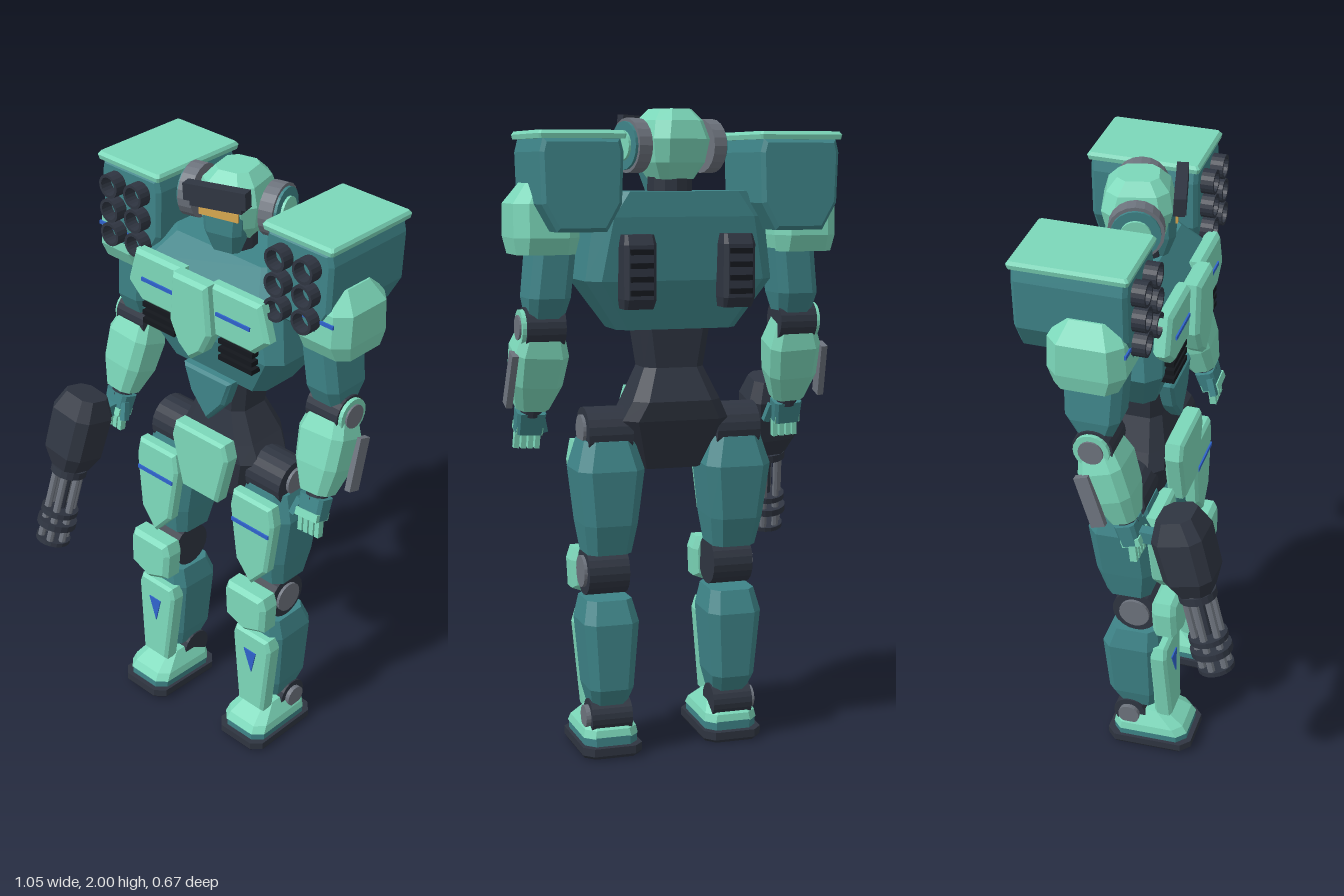
import * as THREE from 'three';

const paint = (name, color, extra = {}) => Object.assign(new THREE.MeshStandardMaterial({ color, flatShading: true, ...extra }), { name });
const MINT = paint('mint armour', 0x7cd8ba);
const TEAL = paint('teal frame', 0x3e8488);
const DARK = paint('dark joints', 0x2f3541);
const GREY = paint('grey metal', 0x6d737d);
const BLACK = paint('black vents', 0x14171d);
const BLUE = paint('blue trim', 0x2f62cc);
const GOLD = paint('gold visor', 0xd9a950);

function add(parent, name, geo, mat, x = 0, y = 0, z = 0) {
  const mesh = new THREE.Mesh(geo, mat);
  mesh.name = name;
  mesh.position.set(x, y, z);
  parent.add(mesh);
  return mesh;
}
function group(parent, name, x = 0, y = 0, z = 0) {
  const g = new THREE.Group();
  g.name = name;
  g.position.set(x, y, z);
  parent.add(g);
  return g;
}
const box = (w, h, d) => new THREE.BoxGeometry(w, h, d);
const cyl = (r, h, n = 16, r2 = r) => new THREE.CylinderGeometry(r2, r, h, n);
const cylX = (r, h, n = 20) => cyl(r, h, n).rotateZ(Math.PI / 2);

// Faceted solid from chamfered rectangles, bottom to top: [y, halfWidth, zFront, zBack, chamfer, xOffset]
function loft(sections) {
  const rings = sections.map(([y, w, f, b, c = 0.02, o = 0]) => [
    [w - c, f], [w, f - c], [w, b + c], [w - c, b], [c - w, b], [-w, b + c], [-w, f - c], [c - w, f],
  ].map(([x, z]) => [x + o, y, z]));
  const pos = [];
  const tri = (...p) => p.forEach((v) => pos.push(...v));
  for (let r = 0; r < rings.length - 1; r++) {
    for (let i = 0; i < 8; i++) {
      const j = (i + 1) % 8, lo = rings[r], hi = rings[r + 1];
      tri(lo[i], lo[j], hi[j]);
      tri(lo[i], hi[j], hi[i]);
    }
  }
  const bottom = rings[0], top = rings[rings.length - 1];
  for (let i = 1; i < 7; i++) {
    tri(top[0], top[i], top[i + 1]);
    tri(bottom[0], bottom[i + 1], bottom[i]);
  }
  const geo = new THREE.BufferGeometry();
  geo.setAttribute('position', new THREE.Float32BufferAttribute(pos, 3));
  geo.computeVertexNormals();
  return geo;
}

// Bevelled plate facing +z, between z0 and z1
function plate(pts, z0, z1, bevel = 0.01) {
  const shape = new THREE.Shape(pts.map(([x, y]) => new THREE.Vector2(x, y)));
  return new THREE.ExtrudeGeometry(shape, {
    depth: z1 - z0 - 2 * bevel, bevelEnabled: bevel > 0, bevelSize: bevel,
    bevelThickness: bevel, bevelOffset: -bevel, bevelSegments: 1,
  }).translate(0, 0, z0 + bevel);
}
const sym = (half) => [...half, ...half.filter(([x]) => x > 0).reverse().map(([x, y]) => [-x, y])];

function buildTorso(root) {
  const t = group(root, 'torso');
  add(t, 'chestFrame', loft([[1.34, 0.19, -0.01, -0.19, 0.03], [1.49, 0.295, 0.04, -0.235, 0.04],
    [1.68, 0.27, 0.035, -0.25, 0.05], [1.755, 0.21, -0.03, -0.245, 0.04]]), TEAL);
  add(t, 'chestCentrePlate', plate(sym([[0.07, 1.7], [0.085, 1.54], [0.05, 1.47], [0, 1.43]]), 0.04, 0.1, 0.012), MINT);
  add(t, 'waist', loft([[0.9, 0.1, -0.03, -0.12], [1.06, 0.17, 0.005, -0.2, 0.04], [1.12, 0.14, 0, -0.21, 0.04],
    [1.22, 0.095, -0.02, -0.17, 0.03], [1.36, 0.115, -0.01, -0.18, 0.03]]), DARK);
  add(t, 'abdomenPlate', plate(sym([[0.1, 1.35], [0.07, 1.26], [0, 1.18]]), -0.03, 0.025), TEAL);
  add(t, 'pelvisPlate', plate(sym([[0.105, 1.145], [0.12, 1.09], [0.075, 0.915]]), 0, 0.06), MINT);
  for (const s of [1, -1]) {
    add(t, 'chestSidePlate', plate([[0.06, 1.7], [0.255, 1.7], [0.29, 1.585], [0.23, 1.53], [0.06, 1.53]]
      .map(([x, y]) => [s * x, y]), 0.02, 0.07, 0.012), MINT);
    add(t, 'chestStripe', box(0.135, 0.012, 0.006), BLUE, s * 0.155, 1.612, 0.072);
    for (let i = 0; i < 3; i++) add(t, 'chestVent', box(0.135, 0.016, 0.05), BLACK, s * 0.16, 1.465 + i * 0.028, 0.042);
    // Exhaust boxes on the back
    add(t, 'backExhaust', loft([[1.41, 0.045, -0.22, -0.29, 0.008], [1.44, 0.05, -0.22, -0.31, 0.012],
      [1.6, 0.05, -0.22, -0.31, 0.012], [1.63, 0.045, -0.22, -0.295, 0.008]]).translate(s * 0.155, 0, 0), DARK);
    for (let i = 0; i < 4; i++) add(t, 'exhaustLouvre', box(0.07, 0.016, 0.014), BLACK, s * 0.155, 1.46 + i * 0.04, -0.313);
  }
}

function buildHead(root) {
  add(root, 'neck', cyl(0.07, 0.1, 12), DARK, 0, 1.765, -0.1);
  const h = group(root, 'head', 0.002, 0, -0.107);
  h.rotation.y = 0.25;
  add(h, 'helmet', loft([[1.79, 0.06, 0.05, -0.06, 0.02], [1.84, 0.088, 0.085, -0.09, 0.03],
    [1.91, 0.1, 0.1, -0.105, 0.035], [1.965, 0.085, 0.09, -0.09, 0.035], [2, 0.055, 0.06, -0.06, 0.025]]), MINT);
  add(h, 'faceMask', loft([[1.755, 0.045, 0.085, 0, 0.015], [1.82, 0.062, 0.108, 0, 0.02], [1.9, 0.068, 0.108, 0, 0.02]]), TEAL);
  add(h, 'eyeBand', box(0.13, 0.026, 0.008), GOLD, 0, 1.888, 0.111);
  const brow = group(h, 'browVisor', 0, 1.953, 0.122);
  brow.rotation.z = 0.06;
  add(brow, 'browBar', box(0.205, 0.052, 0.035), DARK);
  add(brow, 'browLip', box(0.17, 0.02, 0.035), DARK, 0, -0.032, -0.004);
  for (const s of [1, -1]) {
    add(h, 'earDrum', cylX(0.082, 0.045), GREY, s * 0.133, 1.89, 0);
    add(h, 'earRim', cylX(0.072, 0.012), TEAL, s * 0.158, 1.89, 0);
    add(h, 'earCap', cylX(0.045, 0.012), MINT, s * 0.166, 1.89, 0);
  }
}

function buildPod(root, s) {
  const p = group(root, 'missilePod', s * 0.337, 0, 0);
  add(p, 'podBody', plate(sym([[0.115, 1.91], [0.125, 1.87], [0.12, 1.72], [0.075, 1.64]]), -0.33, 0.005, 0.012), TEAL);
  add(p, 'podLidSeal', box(0.23, 0.014, 0.3), DARK, 0, 1.902, -0.165);
  add(p, 'podLid', loft([[1.908, 0.128, 0.01, -0.335, 0.006], [1.922, 0.131, 0.013, -0.338, 0.006],
    [1.932, 0.125, 0.005, -0.33, 0.006]]), MINT);
  const tube = new THREE.LatheGeometry([[0.029, 0], [0.038, 0], [0.038, 0.05], [0.029, 0.05], [0.029, 0]]
    .map(([x, y]) => new THREE.Vector2(x, y)), 18).rotateX(Math.PI / 2);
  for (const x of [-0.052, 0.052]) {
    for (let i = 0; i < 3; i++) add(p, 'launchTube', tube, DARK, x, 1.69 + i * 0.08, -0.005);
  }
}

function buildArm(root, s) {
  const a = group(root, 'arm');
  const x = s * 0.41;
  add(a, 'shoulderPad', loft([[1.57, 0.09, -0.02, -0.21, 0.03], [1.62, 0.1, 0.005, -0.23, 0.04],
    [1.72, 0.1, 0, -0.225, 0.04], [1.78, 0.065, -0.035, -0.19, 0.03, -s * 0.01]]).translate(x, 0, 0), MINT);
  add(a, 'shoulderStripe', box(0.13, 0.012, 0.006), BLUE, x, 1.69, 0.003);
  add(a, 'upperArm', loft([[1.37, 0.052, -0.06, -0.155, 0.02, s * 0.4], [1.44, 0.064, -0.03, -0.195, 0.025, s * 0.397],
    [1.6, 0.064, -0.02, -0.2, 0.025, s * 0.38]]), TEAL);
  add(a, 'elbow', cylX(0.062, 0.12), DARK, s * 0.405, 1.35, -0.105);
  add(a, 'elbowRim', cylX(0.055, 0.02), MINT, s * 0.468, 1.35, -0.105);
  add(a, 'elbowCap', cylX(0.038, 0.02), GREY, s * 0.474, 1.35, -0.105);
  // Forearm and hand swing forward from the elbow
  const f = group(a, 'forearm', s * 0.407, 1.345, -0.105);
  f.rotation.set(-0.32, 0, s * 0.06);
  add(f, 'forearmShell', loft([[-0.26, 0.052, 0.045, -0.04, 0.02], [-0.17, 0.078, 0.065, -0.065, 0.025],
    [-0.07, 0.084, 0.07, -0.07, 0.025], [0.015, 0.06, 0.05, -0.045, 0.02]]), MINT);
  add(f, 'forearmRail', box(0.02, 0.17, 0.045), GREY, s * 0.088, -0.15, -0.045);
  add(f, 'wrist', cyl(0.035, 0.04, 10), DARK, 0, -0.265, 0);
  add(f, 'palm', loft([[-0.345, 0.042, 0.03, -0.03, 0.01], [-0.275, 0.046, 0.035, -0.03, 0.01]]), TEAL);
  add(f, 'knuckles', box(0.084, 0.025, 0.06), MINT, 0, -0.335, 0.006);
  for (let i = 0; i < 4; i++) {
    const finger = add(f, 'finger', box(0.016, 0.06, 0.022), MINT, -0.033 + i * 0.022, -0.37, 0.002);
    finger.rotation.x = 0.2;
  }
  add(f, 'thumb', box(0.02, 0.06, 0.022), TEAL, -s * 0.05, -0.325, 0.02).rotation.z = -s * 0.3;
}

function buildGun(root) {
  add(root, 'gunGrip', box(0.035, 0.04, 0.13), TEAL, -0.425, 1.04, 0.06);
  const g = group(root, 'rotaryGun', -0.425, 1.13, 0.14);
  g.rotation.set(-0.26, 0, -0.085);
  add(g, 'gunHousing', loft([[-0.25, 0.055, 0.055, -0.055, 0.025], [-0.19, 0.083, 0.08, -0.075, 0.03],
    [-0.05, 0.085, 0.08, -0.08, 0.03], [0.015, 0.062, 0.055, -0.055, 0.025]]), DARK);
  for (let i = 0; i < 6; i++) {
    const t = (i * Math.PI) / 3;
    add(g, 'barrel', cyl(0.012, 0.3, 8), GREY, 0.042 * Math.cos(t), -0.385, 0.042 * Math.sin(t));
  }
  add(g, 'gunSpindle', cyl(0.016, 0.26, 8), DARK, 0, -0.37, 0);
  for (const [y, r, h] of [[-0.265, 0.06, 0.025], [-0.42, 0.062, 0.018], [-0.465, 0.066, 0.022], [-0.53, 0.058, 0.014]]) {
    add(g, 'barrelClamp', cyl(r, h, 18), DARK, 0, y, 0);
  }
}

function buildLeg(root, s, swing) {
  const pivot = group(root, 'leg', s * 0.207, 1.03, -0.09);
  pivot.rotation.x = swing;
  const l = group(pivot, 'legParts', 0, -1.03, 0.09);
  add(l, 'hipDrum', cylX(0.08, 0.14), DARK, 0, 1.02, -0.09);
  add(l, 'hipCap', cylX(0.046, 0.02), GREY, s * 0.07, 1.03, -0.09);
  add(l, 'hipAxle', cylX(0.05, 0.1), DARK, -s * 0.09, 1.03, -0.09);
  add(l, 'thigh', loft([[0.645, 0.07, -0.02, -0.165, 0.025], [0.74, 0.085, 0, -0.19, 0.03],
    [0.91, 0.106, 0.005, -0.2, 0.035], [1, 0.08, -0.01, -0.17, 0.03]]), TEAL);
  add(l, 'thighPlate', plate(sym([[0.08, 0.985], [0.092, 0.92], [0.066, 0.73], [0, 0.655]]), -0.01, 0.04), MINT);
  add(l, 'thighStripe', box(0.155, 0.013, 0.006), BLUE, 0, 0.88, 0.042);
  // Knee
  add(l, 'kneeDrum', cylX(0.075, 0.13), DARK, 0, 0.58, -0.07);
  add(l, 'kneeCap', cylX(0.05, 0.02), GREY, s * 0.065, 0.58, -0.07);
  add(l, 'kneePlate', plate(sym([[0.075, 0.64], [0.088, 0.6], [0.083, 0.51], [0, 0.478]]), -0.01, 0.07, 0.015), MINT);
  // Shin
  add(l, 'shin', loft([[0.16, 0.055, -0.03, -0.15, 0.02], [0.22, 0.07, -0.015, -0.185, 0.025],
    [0.43, 0.088, 0, -0.19, 0.03], [0.5, 0.072, -0.005, -0.16, 0.025]]), TEAL);
  add(l, 'shinPlate', plate(sym([[0.07, 0.44], [0.082, 0.4], [0.055, 0.13]]), -0.03, 0.03), MINT);
  add(l, 'shinMark', plate([[-0.026, 0.37], [0.026, 0.37], [0.008, 0.285]], 0.029, 0.034, 0), BLUE);
  // Ankle and foot
  add(l, 'ankleDrum', cylX(0.055, 0.13), DARK, 0, 0.125, -0.115);
  add(l, 'ankleCap', cylX(0.036, 0.02), GREY, s * 0.07, 0.125, -0.115);
  add(l, 'footShell', loft([[0.065, 0.088, 0.08, -0.175, 0.03], [0.09, 0.083, 0.065, -0.17, 0.03],
    [0.14, 0.055, -0.005, -0.1, 0.02]]), MINT);
  add(l, 'footBase', loft([[0.035, 0.085, 0.078, -0.175, 0.03], [0.068, 0.085, 0.078, -0.175, 0.03]]), TEAL);
  add(l, 'sole', loft([[0.005, 0.09, 0.088, -0.188, 0.03], [0.015, 0.096, 0.095, -0.195, 0.03],
    [0.04, 0.096, 0.095, -0.195, 0.03]]), DARK);
}

export function createModel() {
  const model = new THREE.Group();
  model.name = 'walkingRobot';
  const body = group(model, 'body', 0.01, 0, 0);
  buildTorso(body);
  buildHead(body);
  for (const s of [1, -1]) {
    buildPod(body, s);
    buildArm(body, s);
    buildLeg(body, s, s > 0 ? 0 : -0.045);
  }
  buildGun(body);
  return model;
}
